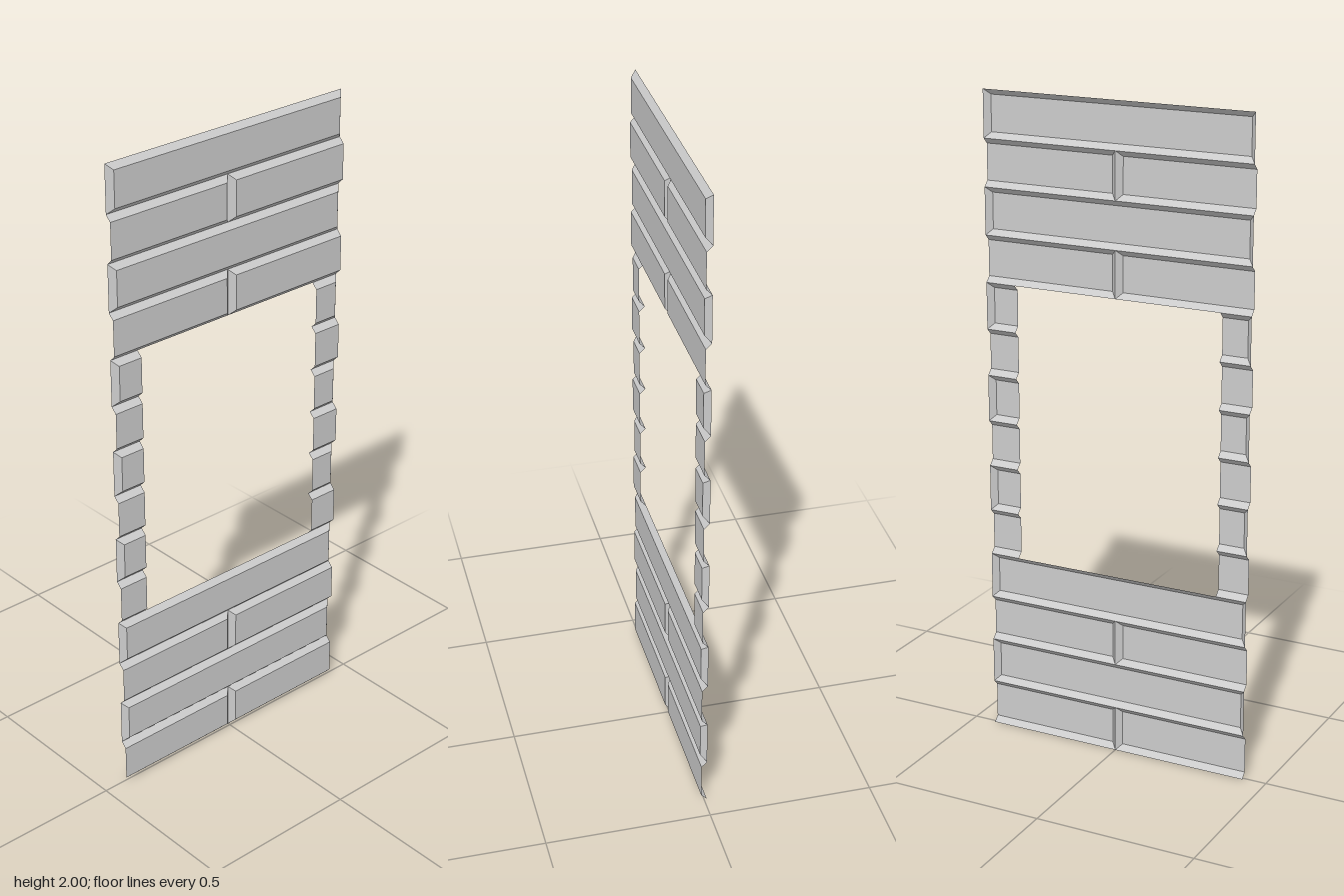
import * as THREE from 'three';

const HALF_W = 0.427, OPEN_W = 0.331; // half widths of wall and window opening
const ROWS = 14, ROW_H = 2 / ROWS;
const BEVEL = 0.017, FRONT = 0.0085, BACK = -0.0085;

const material = new THREE.MeshStandardMaterial({
  color: 0xcccccc, flatShading: true, side: THREE.DoubleSide,
});

// Open-backed brick face: flat front with sloped top and bottom, and optional sloped ends
function brick(name, x0, x1, row, slopeLeft, slopeRight) {
  const y0 = row * ROW_H, y1 = y0 + ROW_H;
  const a = x0 + (slopeLeft ? BEVEL : 0), b = x1 - (slopeRight ? BEVEL : 0);
  const outer = [[x0, y0, BACK], [x1, y0, BACK], [x1, y1, BACK], [x0, y1, BACK]];
  const inner = [[a, y0 + BEVEL, FRONT], [b, y0 + BEVEL, FRONT],
    [b, y1 - BEVEL, FRONT], [a, y1 - BEVEL, FRONT]];
  const positions = [];
  const quad = (p, q, r, s) => positions.push(...p, ...q, ...r, ...p, ...r, ...s);
  quad(...inner);
  const drawn = [true, slopeRight, true, slopeLeft];
  for (let i = 0; i < 4; i++) {
    const j = (i + 1) % 4;
    if (drawn[i]) quad(outer[i], outer[j], inner[j], inner[i]);
  }
  const geometry = new THREE.BufferGeometry();
  geometry.setAttribute('position', new THREE.Float32BufferAttribute(positions, 3));
  geometry.computeVertexNormals();
  const mesh = new THREE.Mesh(geometry, material);
  mesh.name = name;
  return mesh;
}

export function createModel() {
  const wall = new THREE.Group();
  wall.name = 'brickWallWithWindowOpening';
  for (let row = 0; row < ROWS; row++) {
    const course = new THREE.Group();
    course.name = `course${row + 1}`;
    const whole = row % 2 === 1; // running bond: whole bricks alternate with halves
    if (row >= 4 && row < 10) {
      // Courses cut by the window opening
      course.add(brick('rightJambBrick', -HALF_W, -OPEN_W, row, whole, false));
      course.add(brick('leftJambBrick', OPEN_W, HALF_W, row, false, whole));
    } else if (whole) {
      course.add(brick('wholeBrick', -HALF_W, HALF_W, row, true, true));
    } else {
      // Half bricks meet in a V joint at the centre
      course.add(brick('rightHalfBrick', -HALF_W, 0, row, false, true));
      course.add(brick('leftHalfBrick', 0, HALF_W, row, true, false));
    }
    wall.add(course);
  }
  return wall;
}
